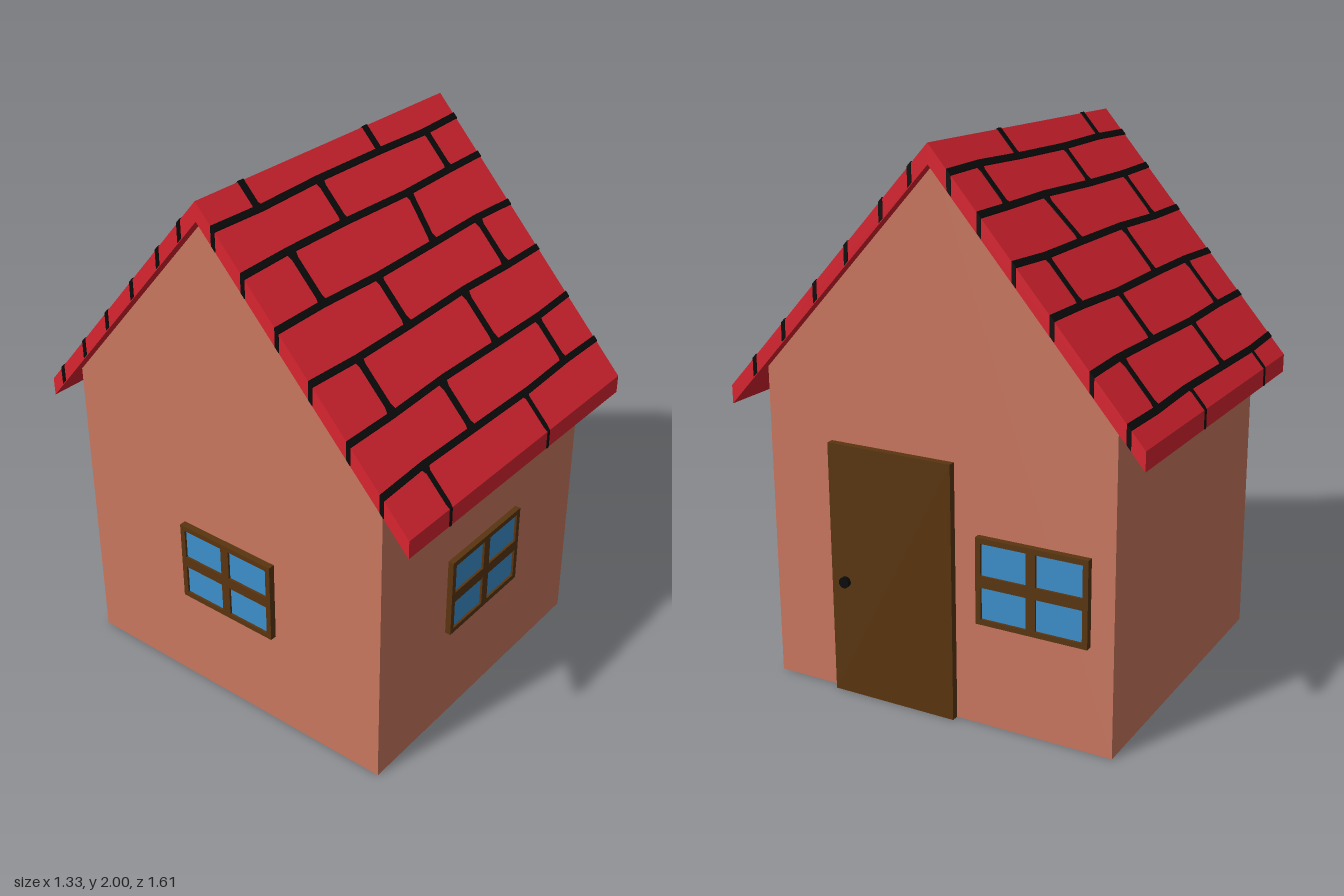
import * as THREE from 'three';

const mat = (name, color, side = THREE.FrontSide) =>
  Object.assign(new THREE.MeshStandardMaterial({ color, side }), { name });

const RIDGE_Z = -0.035;
// Height of the roof's outer and inner surface at a given z
const slope = z => (z > RIDGE_Z ? 0.9 / 0.835 : 0.89 / 0.765);
const roofTop = z => 2 - Math.abs(z - RIDGE_Z) * slope(z);
const roofUnder = z => roofTop(z) - 0.068;

// Prism along x from a [z, y] profile
function prism(profile, x0, x1) {
  const shape = new THREE.Shape(profile.map(([z, y]) => new THREE.Vector2(-z, y)));
  return new THREE.ExtrudeGeometry(shape, { depth: x1 - x0, bevelEnabled: false })
    .rotateY(Math.PI / 2).translate(x0, 0, 0);
}

// Piece of grout: a plan outline [x, z] draped through the thickness of the roof
function grout(outline) {
  const shape = new THREE.Shape(outline.map(([x, z]) => new THREE.Vector2(x, z)));
  const geo = new THREE.ExtrudeGeometry(shape, { depth: 1, bevelEnabled: false }).rotateX(Math.PI / 2);
  const p = geo.attributes.position;
  for (let i = 0; i < p.count; i++) {
    const z = p.getZ(i);
    p.setY(i, p.getY(i) > -0.5 ? roofTop(z) + 0.004 : roofUnder(z) + 0.004);
  }
  geo.computeVertexNormals();
  return geo;
}

export function createModel() {
  const house = new THREE.Group();
  house.name = 'house';
  const wall = mat('wall clay', 0xc9775f);
  const red = mat('roof red', 0xd92430);
  const black = mat('grout black', 0x0b0b0b);
  const wood = mat('dark wood', 0x5a3510);
  const glass = mat('window blue', 0x3c8fca);

  const add = (parent, name, geo, material) => {
    const mesh = new THREE.Mesh(geo, material);
    mesh.name = name;
    parent.add(mesh);
    return mesh;
  };

  // Walls with gables
  add(house, 'walls', prism([
    [0.665, 0], [0.665, roofUnder(0.665)], [RIDGE_Z, roofUnder(RIDGE_Z)],
    [-0.69, roofUnder(-0.69)], [-0.69, 0],
  ], -0.62, 0.605), wall);

  // Roof shell
  const X0 = -0.665, X1 = 0.645;
  add(house, 'roof', prism([
    [0.8, roofUnder(0.8)], [0.8, roofTop(0.8)], [RIDGE_Z, 2], [-0.8, roofTop(-0.8)],
    [-0.8, roofUnder(-0.8)], [RIDGE_Z, roofUnder(RIDGE_Z)],
  ], X0, X1), red);

  // Grout between the roof tiles, row by row from ridge to eave
  const joints = [[-0.455, 0.187], [-0.15, 0.455], [-0.435, 0.185], [-0.157, 0.438],
    [-0.435, 0.168], [-0.165, 0.425], [-0.44, 0.152]];
  const sides = [
    ['front', [RIDGE_Z, 0.035, 0.148, 0.285, 0.418, 0.562, 0.692, 0.803]],
    ['back', [RIDGE_Z, -0.11, -0.217, -0.345, -0.478, -0.612, -0.742, -0.803]],
  ];
  for (const [side, rows] of sides) {
    const group = new THREE.Group();
    group.name = `${side}RoofGrout`;
    house.add(group);
    rows.slice(1, -1).forEach((z, i) => {
      const w = 0.0075, xs = [X0 - 0.003, -0.44, -0.15, 0.18, 0.44, X1 + 0.003];
      const mid = xs.map((x, k) => z + 0.003 * Math.sin(k * 2 + i * 1.7));
      const edge = s => xs.map((x, k) => [x, mid[k] + s * w]);
      add(group, 'rowLine', grout([...edge(-1), ...edge(1).reverse()]), black);
    });
    joints.forEach((pair, i) => {
      const a = rows[i], b = rows[i + 1], c = (b - a) * 0.15;
      const last = i === joints.length - 1;
      pair.forEach((x, k) => {
        const lean = i === 2 && k === 1 ? 0.012 : 0;
        const h = last ? 0.01 : 0.014;
        const flareA = i === 0 ? h : 0.024, flareB = last ? 0.006 : 0.024;
        add(group, 'tileJoint', grout([
          [x + lean - flareA, a], [x + lean - h, a + c], [x - lean - h, b - c], [x - lean - flareB, b],
          [x - lean + flareB, b], [x - lean + h, b - c], [x + lean + h, a + c], [x + lean + flareA, a],
        ]), black);
      });
    });
  }

  // Window: frame with four openings and a pane behind it, facing +z
  function addWindow(name, w, x, z, turn) {
    const h = 0.315, border = 0.02, bar = 0.0175, depth = 0.025;
    const rect = (Type, x0, y0, x1, y1) => new Type([[x0, y0], [x1, y0], [x1, y1], [x0, y1]]
      .map(q => new THREE.Vector2(...q)));
    const frame = rect(THREE.Shape, -w / 2, -h / 2, w / 2, h / 2);
    for (const sx of [-1, 1]) for (const sy of [-1, 1]) {
      const xs = [sx * bar, sx * (w / 2 - border)].sort((p, q) => p - q);
      const ys = [sy * 0.021, sy * (h / 2 - border)].sort((p, q) => p - q);
      frame.holes.push(rect(THREE.Path, xs[0], ys[0], xs[1], ys[1]));
    }
    const group = new THREE.Group();
    group.name = name;
    add(group, 'windowFrame', new THREE.ExtrudeGeometry(frame, { depth, bevelEnabled: false }), wood);
    add(group, 'windowPane', new THREE.BoxGeometry(w - 0.02, h - 0.02, 0.009), glass).position.z = 0.012;
    group.position.set(x, 0.547, z);
    group.rotation.y = turn;
    house.add(group);
  }
  addWindow('frontWindow', 0.43, -0.015, 0.662, 0);
  addWindow('leftWindow', 0.42, 0.605, -0.395, Math.PI / 2);
  addWindow('rightWindow', 0.42, -0.62, -0.005, -Math.PI / 2);

  // Door and knob
  const door = new THREE.Group();
  door.name = 'door';
  house.add(door);
  add(door, 'doorPanel', new THREE.BoxGeometry(0.035, 0.945, 0.495), wood).position.set(0.615, 0.4725, 0.155);
  const knobPart = (name, r, len, x) =>
    add(door, name, new THREE.CylinderGeometry(r, r, len, 20).rotateZ(Math.PI / 2), black).position.set(x, 0.44, 0.335);
  knobPart('knobStem', 0.009, 0.02, 0.638);
  knobPart('knobHead', 0.02, 0.016, 0.653);

  return house;
}
